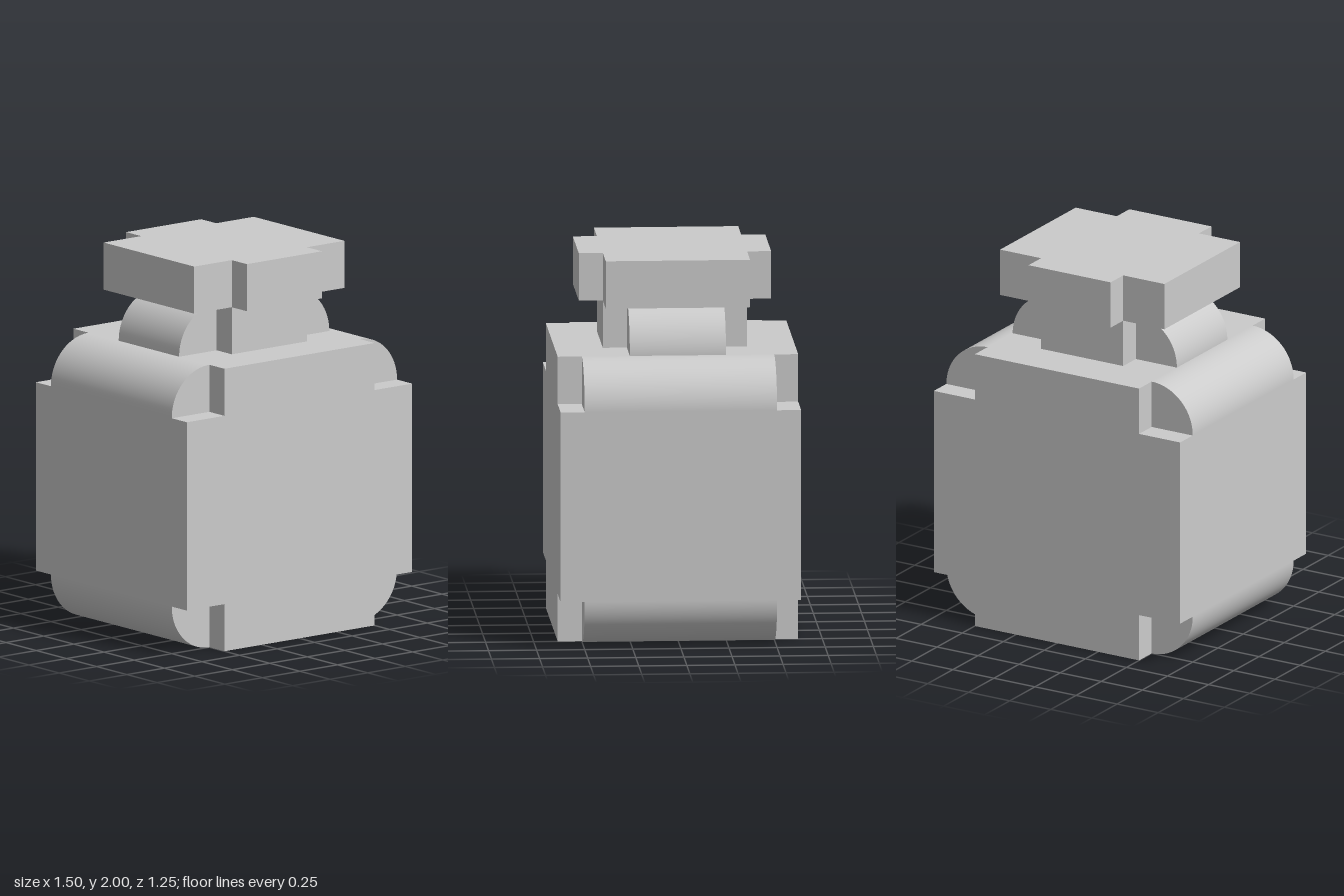
import * as THREE from 'three';

const R = 0.25; // corner radius and notch size

export function createModel() {
  const model = new THREE.Group();
  const material = new THREE.MeshStandardMaterial({ color: 0xcccccc });

  function add(name, geometry, x = 0, y = 0, z = 0) {
    const mesh = new THREE.Mesh(geometry, material);
    mesh.name = name;
    mesh.position.set(x, y, z);
    model.add(mesh);
  }

  // Block with its four corners notched out, extruded along z and centred
  function notchedBlock(w, h, depth, notchX, notchY) {
    const a = w - notchX, b = h - notchY;
    const outline = [
      [w, -b], [w, b], [a, b], [a, h], [-a, h], [-a, b],
      [-w, b], [-w, -b], [-a, -b], [-a, -h], [a, -h], [a, -b],
    ].map(([x, y]) => new THREE.Vector2(x, y));
    return new THREE.ExtrudeGeometry(new THREE.Shape(outline), { depth, bevelEnabled: false })
      .translate(0, 0, -depth / 2);
  }

  // Quarter cylinder along z; quadrants: 0 = +x-y, 1 = +x+y, 2 = -x+y, 3 = -x-y
  function quarterRound(depth, quadrant) {
    return new THREE.CylinderGeometry(R, R, depth, 24, 1, false, quadrant * Math.PI / 2, Math.PI / 2)
      .rotateX(Math.PI / 2);
  }

  // Body: notched block with rounded, slightly recessed corner fillers
  add('body', notchedBlock(0.75, 0.75, 1.25, R, R), 0, 0.75, 0);
  [[1, -1], [1, 1], [-1, 1], [-1, -1]].forEach(([sx, sy], quadrant) => {
    add('bodyRoundedCorner', quarterRound(1, quadrant), sx * 0.5, 0.75 + sy * 0.5, 0);
  });

  // Neck: centre block with a rounded shoulder on each side
  add('neck', new THREE.BoxGeometry(0.5, 0.25, 0.75), 0, 1.625, 0);
  add('neckLeftShoulder', quarterRound(0.5, 1), 0.25, 1.5, 0);
  add('neckRightShoulder', quarterRound(0.5, 2), -0.25, 1.5, 0);

  // Lid: flat notched slab
  add('lid', notchedBlock(0.5, 0.5, 0.25, 0.25, 0.125).rotateX(-Math.PI / 2), 0, 1.875, 0);

  return model;
}
